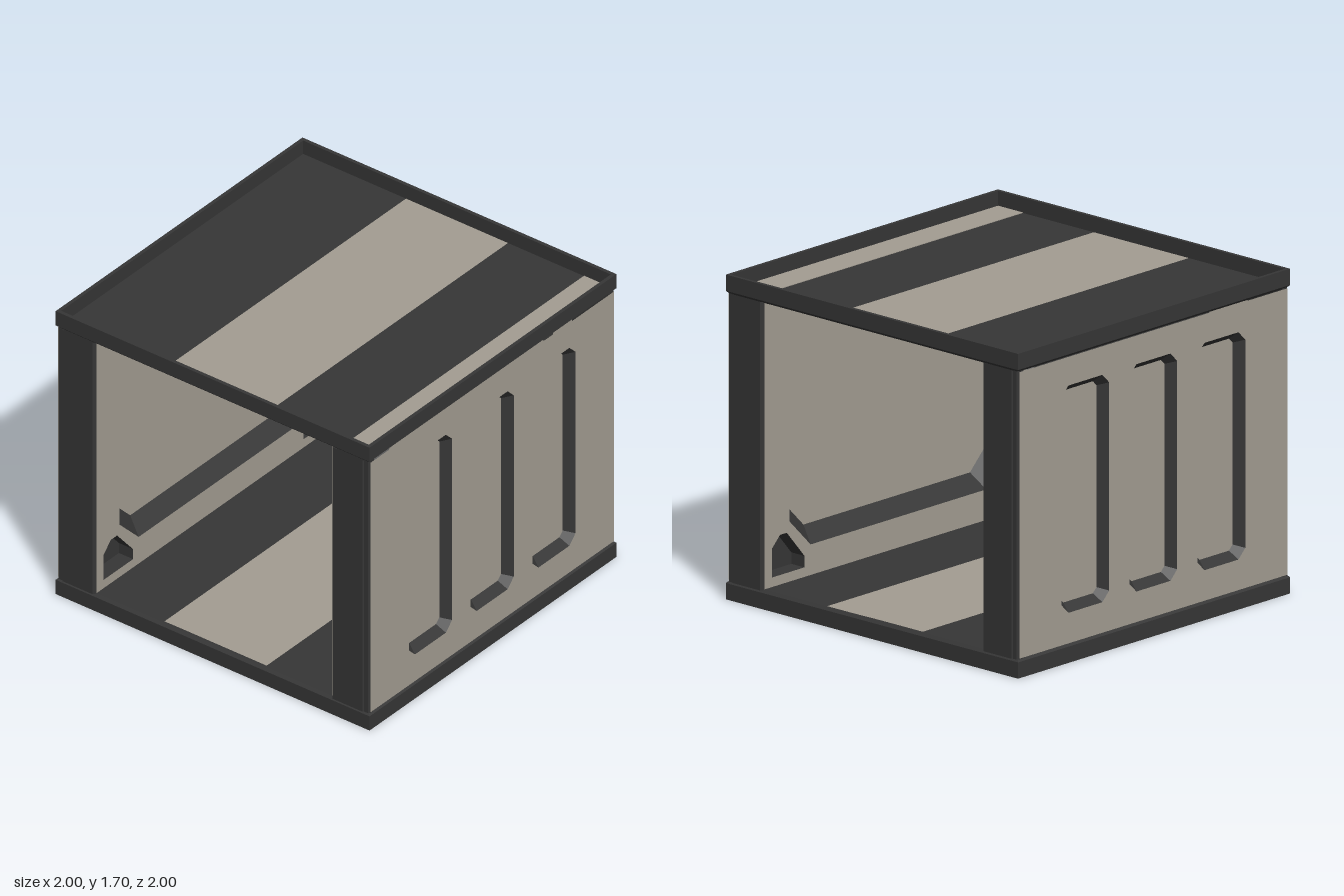
import * as THREE from 'three';

const beige = new THREE.MeshStandardMaterial({ color: 0xa39d92, side: THREE.DoubleSide });
beige.name = 'warm grey panel';
const dark = new THREE.MeshStandardMaterial({ color: 0x363636, side: THREE.DoubleSide });
dark.name = 'charcoal frame';

function add(parent, name, geometry, material) {
  const mesh = new THREE.Mesh(geometry, material);
  mesh.name = name;
  parent.add(mesh);
  return mesh;
}

// Flat-shaded skin between successive closed loops of [x, y, z]
function loft(loops) {
  const pos = [];
  for (let k = 0; k + 1 < loops.length; k++) {
    const a = loops[k], b = loops[k + 1];
    for (let i = 0; i < a.length; i++) {
      const j = (i + 1) % a.length;
      pos.push(...a[i], ...a[j], ...b[j], ...a[i], ...b[j], ...b[i]);
    }
  }
  const g = new THREE.BufferGeometry();
  g.setAttribute('position', new THREE.Float32BufferAttribute(pos, 3));
  g.computeVertexNormals();
  return g;
}

const toShape = (pts) => new THREE.Shape(pts.map(([x, y]) => new THREE.Vector2(x, y)));

// Counter-clockwise rectangle with cut corners
function octagon(cx, cy, hw, hh, c) {
  return [
    [cx - hw + c, cy - hh], [cx + hw - c, cy - hh], [cx + hw, cy - hh + c], [cx + hw, cy + hh - c],
    [cx + hw - c, cy + hh], [cx - hw + c, cy + hh], [cx - hw, cy + hh - c], [cx - hw, cy - hh + c],
  ];
}

// Octagonal recess with sloping sides
function recess(cx, y0, y1, hw, c, slope, depth) {
  const cy = (y0 + y1) / 2, hh = (y1 - y0) / 2;
  return {
    rim: octagon(cx, cy, hw, hh, c),
    base: octagon(cx, cy, hw - slope, hh - slope, c - slope * 0.586),
    depth, floor: beige,
  };
}

// Wall face in the xy plane, facing +z, with its recesses
function wallFace(name, recesses) {
  const g = new THREE.Group();
  g.name = name;
  const plate = toShape([[-0.985, 0.1], [0.985, 0.1], [0.985, 1.6], [-0.985, 1.6]]);
  for (const r of recesses) {
    plate.holes.push(toShape(r.rim));
    add(g, 'recessSides', loft([
      r.base.map(([x, y]) => [x, y, -r.depth]),
      r.rim.map(([x, y]) => [x, y, 0]),
    ]), dark);
    add(g, 'recessPanel', new THREE.ShapeGeometry(toShape(r.base)), r.floor).position.z = -r.depth;
  }
  add(g, 'wallPlate', new THREE.ShapeGeometry(plate), beige);
  return g;
}

function wall(name) {
  const g = new THREE.Group();
  g.name = name;

  // Three tall recesses outside
  const outer = wallFace('outerFace', [-0.5, 0, 0.5].map((x) => recess(x, 0.26, 1.45, 0.175, 0.05, 0.04, 0.05)));
  outer.position.z = 0.995;

  // One wide recess and two lower corner pockets inside
  const pocket = [[0.69, 0.15], [0.93, 0.15], [0.93, 0.3], [0.87, 0.36], [0.82, 0.36], [0.69, 0.21]];
  const pockets = [pocket, pocket.map(([x, y]) => [-x, y]).reverse()]
    .map((p) => ({ rim: p, base: p, depth: 0.09, floor: dark }));
  const inner = wallFace('innerFace', [recess(0, 0.26, 1.52, 0.8, 0.155, 0.08, 0.08), ...pockets]);
  inner.rotation.y = Math.PI;
  inner.position.z = 0.75;
  g.add(outer, inner);

  // Chamfered posts closing the wall ends
  for (const s of [-1, 1]) {
    const profile = [[0.95, 0.755], [0.985, 0.752], [1, 0.765], [1, 0.955], [0.994, 0.96], [0.994, 0.985], [0.985, 0.993], [0.95, 0.99]];
    add(g, 'endPost', loft([0.095, 1.605].map((y) => profile.map(([x, z]) => [s * x, y, z]))), dark);
  }
  return g;
}

// Square slab: edge rail with a shallow hollow on its outer side and striped decking
function slab(name) {
  const g = new THREE.Group();
  g.name = name;
  const rail = [[0.98, 0.08], [0.98, 0], [1, 0], [1, 0.085], [0.985, 0.1], [0.975, 0.1]];
  add(g, 'edgeRail', loft(rail.map(([h, y]) => [[-h, y, -h], [-h, y, h], [h, y, h], [h, y, -h]])), dark);
  for (const [z0, z1, m] of [[-0.98, -0.325, dark], [-0.325, 0.325, beige], [0.325, 0.98, dark]]) {
    add(g, 'deckStripe', new THREE.BoxGeometry(1.96, 0.02, z1 - z0), m).position.set(0, 0.09, (z0 + z1) / 2);
  }
  return g;
}

export function createModel() {
  const model = new THREE.Group();
  model.name = 'corridorSection';

  const front = wall('frontWall');
  const back = wall('backWall');
  back.rotation.y = Math.PI;

  const floor = slab('floor');
  const roof = slab('roof');
  roof.rotation.x = Math.PI;
  roof.position.y = 1.7;
  model.add(front, back, floor, roof);

  // Pale strip along the front of the roof
  add(model, 'roofFrontStrip', new THREE.BoxGeometry(1.96, 0.004, 0.17), beige).position.set(0, 1.621, 0.895);
  return model;
}
